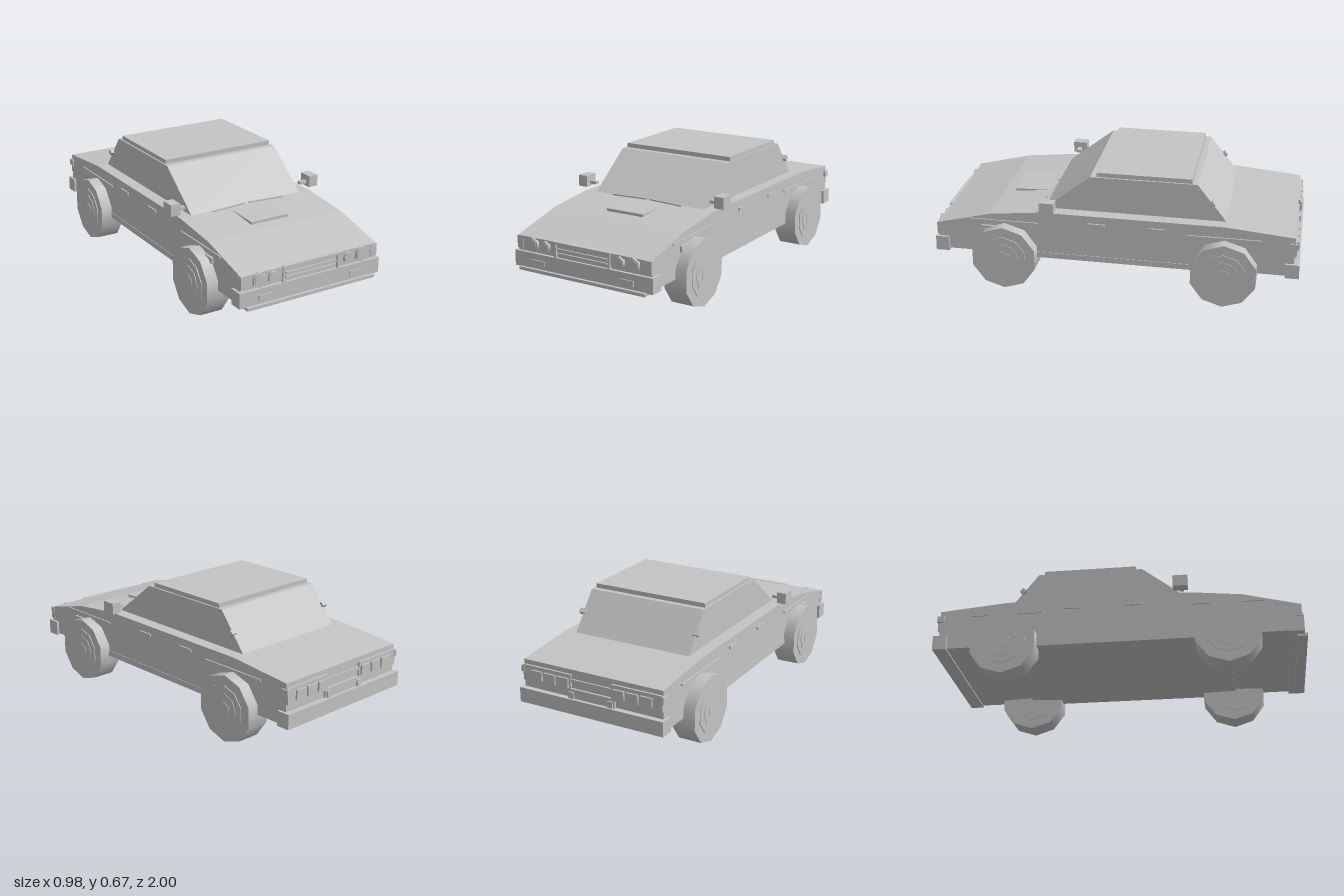
import * as THREE from 'three';

export function createModel() {
  const car = new THREE.Group();
  car.name = 'saloonCar';
  const grey = new THREE.MeshStandardMaterial({ color: 0xc4c4c4 });
  grey.name = 'plainGrey';

  const add = (name, geometry, parent = car) => {
    const mesh = new THREE.Mesh(geometry, grey);
    mesh.name = name;
    parent.add(mesh);
    return mesh;
  };
  // Box given by its limits on each axis
  const box = (name, [x0, x1], [y0, y1], [z0, z1]) => {
    const m = add(name, new THREE.BoxGeometry(x1 - x0, y1 - y0, z1 - z0));
    m.position.set((x0 + x1) / 2, (y0 + y1) / 2, (z0 + z1) / 2);
    return m;
  };
  // The same box on both sides of the car
  const pair = (name, [x0, x1], y, z) => {
    box(name + 'Left', [x0, x1], y, z);
    box(name + 'Right', [-x1, -x0], y, z);
  };
  // Side profile of [z, y] points swept across the width
  const sweep = (name, points, width) => {
    const shape = new THREE.Shape(points.map(([z, y]) => new THREE.Vector2(z, y)));
    const g = new THREE.ExtrudeGeometry(shape, { depth: width, bevelEnabled: false });
    g.translate(0, 0, -width / 2).rotateY(-Math.PI / 2);
    return add(name, g);
  };

  // Body, floor and cabin
  sweep('body', [[-0.97, 0.177], [0.967, 0.177], [0.967, 0.33], [0.67, 0.405],
    [0.39, 0.435], [-0.605, 0.433], [-0.97, 0.4]], 0.826);
  box('floor', [-0.41, 0.41], [0.165, 0.18], [-0.6, 0.6]);
  pair('sill', [0.405, 0.416], [0.165, 0.197], [-0.43, 0.42]);
  sweep('cabin', [[0.39, 0.43], [0.13, 0.633], [-0.445, 0.633], [-0.605, 0.43]], 0.688);
  box('roofPanel', [-0.335, 0.335], [0.63, 0.657], [-0.415, 0.095]);

  // Bumpers
  box('frontBumper', [-0.427, 0.427], [0.167, 0.25], [0.91, 0.984]);
  box('frontLip', [-0.39, 0.39], [0.153, 0.17], [0.945, 1]);
  pair('bumperLamp', [0.235, 0.317], [0.187, 0.217], [0.98, 0.99]);
  box('rearBumper', [-0.427, 0.427], [0.17, 0.25], [-1, -0.925]);

  // Grille with frame and bars
  box('grillePanel', [-0.163, 0.163], [0.25, 0.325], [0.96, 0.971]);
  box('grilleTop', [-0.173, 0.173], [0.321, 0.333], [0.96, 0.982]);
  pair('grilleSide', [0.16, 0.173], [0.25, 0.325], [0.96, 0.982]);
  for (const y of [0.271, 0.294]) {
    box('grilleBar', [-0.152, 0.152], [y - 0.005, y + 0.005], [0.965, 0.98]);
  }

  // Headlamps: six-sided, two per side
  pair('headlampPanel', [0.173, 0.376], [0.262, 0.33], [0.96, 0.973]);
  pair('cornerLamp', [0.376, 0.415], [0.262, 0.33], [0.945, 0.976]);
  for (const side of [-1, 1]) {
    for (const [x, r] of [[0.312, 0.043], [0.23, 0.034]]) {
      const rim = add('headlampRim', new THREE.CylinderGeometry(r * 0.9, r, 0.026, 6, 1).rotateX(Math.PI / 2).rotateZ(Math.PI));
      rim.position.set(side * x, 0.294, 0.973);
      const lens = add('headlampLens', new THREE.CylinderGeometry(r * 0.75, r * 0.75, 0.006, 6).rotateX(Math.PI / 2));
      lens.position.set(side * x, 0.294, 0.986);
    }
  }

  // Tail lamps and number plate panel
  pair('tailPanel', [0.12, 0.413], [0.29, 0.375], [-0.981, -0.965]);
  for (const x of [0.165, 0.245, 0.325]) {
    pair('tailLamp', [x - 0.033, x + 0.033], [0.303, 0.355], [-0.991, -0.975]);
  }
  box('rearTrim', [-0.12, 0.12], [0.33, 0.35], [-0.978, -0.965]);
  box('platePanel', [-0.14, 0.14], [0.25, 0.3], [-0.982, -0.965]);
  pair('plateLamp', [0.1, 0.13], [0.25, 0.285], [-0.99, -0.97]);

  // Trim along the flanks
  pair('rearCornerMarker', [0.405, 0.422], [0.335, 0.37], [-0.985, -0.945]);
  pair('frontMarker', [0.405, 0.425], [0.306, 0.338], [0.65, 0.72]);
  pair('frontArchTrim', [0.405, 0.42], [0.36, 0.372], [0.4, 0.79]);
  pair('rearArchTrim', [0.405, 0.42], [0.36, 0.372], [-0.8, -0.4]);
  pair('frontDoorHandle', [0.405, 0.421], [0.376, 0.393], [0.04, 0.13]);
  pair('rearDoorHandle', [0.405, 0.421], [0.376, 0.393], [-0.29, -0.2]);

  // Bonnet hatch
  box('bonnetHatch', [-0.115, 0.115], [0.41, 0.43], [0.415, 0.605]).rotation.x = 0.03;

  // Mirrors, wipers and rear pillar lugs
  pair('mirrorArm', [0.366, 0.415], [0.467, 0.483], [0.335, 0.36]);
  pair('mirror', [0.41, 0.465], [0.452, 0.515], [0.305, 0.385]);
  for (const side of [-1, 1]) {
    const wiper = add('wiper', new THREE.BoxGeometry(0.21, 0.008, 0.008));
    wiper.position.set(side * 0.118, 0.441, 0.394);
    wiper.rotation.y = side * -0.09;
    const lug = add('pillarLug', new THREE.BoxGeometry(0.036, 0.026, 0.026));
    lug.position.set(side * 0.346, 0.53, -0.527);
    lug.rotation.x = 0.75;
  }

  // Ten-sided wheels with stepped hubs on both faces
  const wheelLayers = [
    ['tyre', 0.182, 0.128, 10],
    ['rim', 0.128, 0.138, 10],
    ['hubRing', 0.09, 0.144, 8],
    ['hubCap', 0.045, 0.15, 6],
  ];
  for (const side of [-1, 1]) {
    for (const [label, z] of [['front', 0.59], ['rear', -0.605]]) {
      const wheel = new THREE.Group();
      wheel.name = label + 'Wheel' + (side > 0 ? 'Left' : 'Right');
      for (const [name, r, width, sides] of wheelLayers) {
        add(name, new THREE.CylinderGeometry(r, r, width, sides).rotateZ(Math.PI / 2).rotateX(Math.PI / 2), wheel);
      }
      wheel.position.set(side * 0.413, 0.174, z);
      car.add(wheel);
    }
  }
  return car;
}
